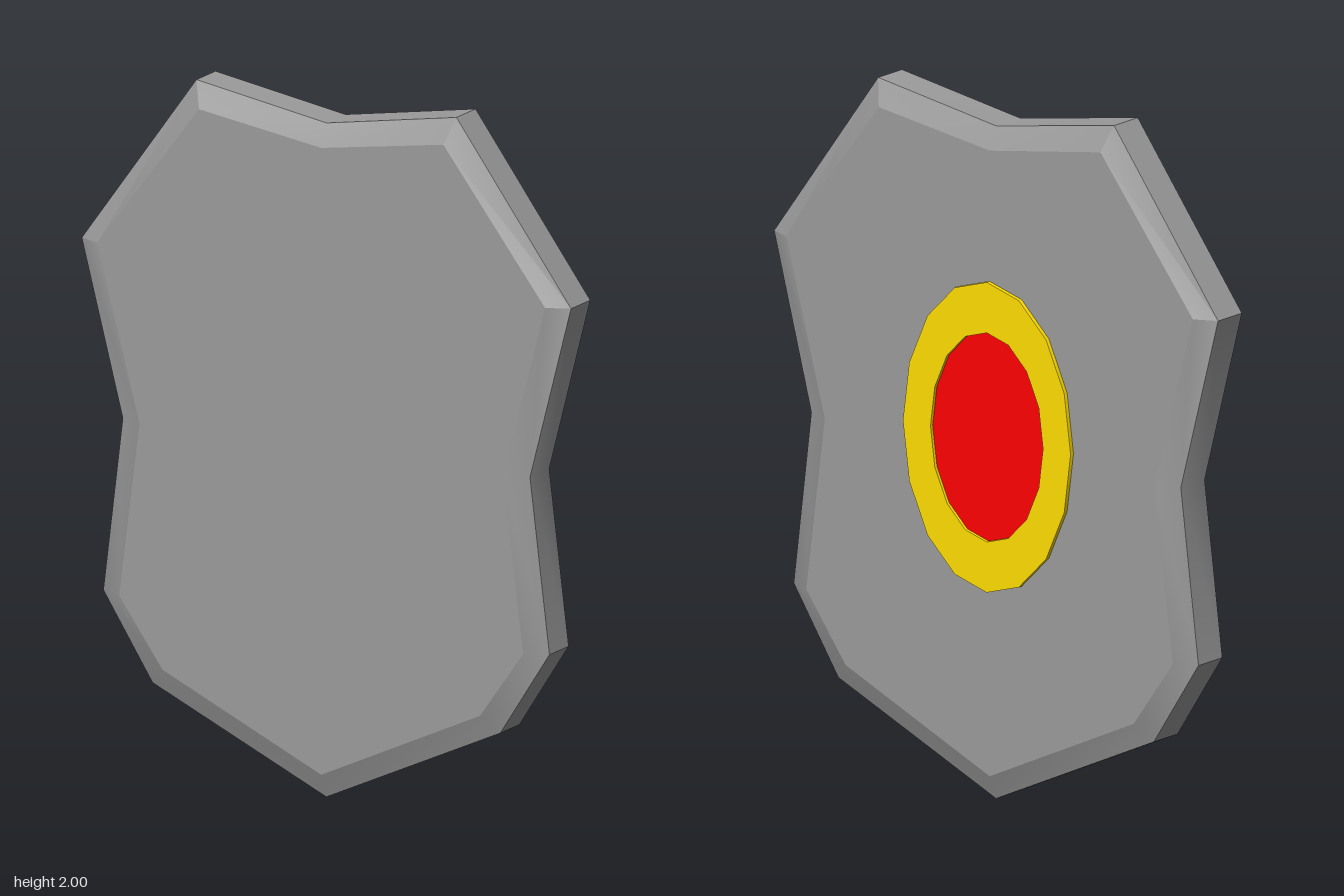
import * as THREE from 'three';
import { toCreasedNormals } from 'three/addons/utils/BufferGeometryUtils.js';

const CENTER_Y = 1.045;

// Mirror the right-hand points [x, y] between a bottom and a top centre point
function mirrorOutline(bottomY, right, topY) {
  const left = right.map(([x, y]) => [-x, y]).reverse();
  return [[0, bottomY], ...right, [0, topY], ...left];
}

// Closed loop of points around an ellipse
function ellipsePoints(rx, ry, sides = 16) {
  return Array.from({ length: sides }, (_, i) => {
    const a = (i / sides) * Math.PI * 2;
    return new THREE.Vector2(Math.cos(a) * rx, CENTER_Y + Math.sin(a) * ry);
  });
}

// Chamfered plate: four outline loops from back to front, closed by two caps
function plateGeometry() {
  const outer = mirrorOutline(0, [[0.555, 0.255], [0.712, 0.5], [0.65, 1], [0.781, 1.5], [0.415, 2]], 1.93);
  const inner = mirrorOutline(0.07, [[0.507, 0.305], [0.645, 0.5], [0.58, 1], [0.715, 1.5], [0.39, 1.925]], 1.865);
  const loops = [[inner, -0.077], [outer, -0.048], [outer, 0.059], [inner, 0.088]];
  const positions = loops.flatMap(([points, z]) => points.flatMap(([x, y]) => [x, y, z]));
  const n = outer.length;
  const index = [];
  for (let k = 0; k < 3; k++) {
    for (let i = 0; i < n; i++) {
      const a = k * n + i;
      const b = k * n + ((i + 1) % n);
      index.push(a, b, b + n, a, b + n, a + n);
    }
  }
  const capPoints = inner.map(([x, y]) => new THREE.Vector2(x, y));
  for (const [a, b, c] of THREE.ShapeUtils.triangulateShape(capPoints, [])) {
    index.push(a, c, b, a + 3 * n, b + 3 * n, c + 3 * n);
  }
  const geometry = new THREE.BufferGeometry();
  geometry.setAttribute('position', new THREE.Float32BufferAttribute(positions, 3));
  geometry.setIndex(index);
  return geometry;
}

function ovalGeometry(shape, depth) {
  return new THREE.ExtrudeGeometry(shape, { depth, bevelEnabled: false });
}

// Soften only the edges that bend less than the crease angle
function addPart(group, name, geometry, creaseDegrees, color, z = 0) {
  const creased = toCreasedNormals(geometry, THREE.MathUtils.degToRad(creaseDegrees));
  const mesh = new THREE.Mesh(creased, new THREE.MeshStandardMaterial({ color }));
  mesh.name = name;
  mesh.position.z = z;
  group.add(mesh);
}

export function createModel() {
  const group = new THREE.Group();
  group.name = 'shield';

  addPart(group, 'plate', plateGeometry(), 22, 0x9b9b9b);

  // Raised oval ring on the back
  const ring = new THREE.Shape(ellipsePoints(0.295, 0.445));
  ring.holes.push(new THREE.Path(ellipsePoints(0.198, 0.3)));
  addPart(group, 'backRing', ovalGeometry(ring, 0.016), 45, 0xffde00, -0.09);

  // Inset oval panel inside the ring
  const panel = new THREE.Shape(ellipsePoints(0.198, 0.3));
  addPart(group, 'backPanel', ovalGeometry(panel, 0.006), 45, 0xff0000, -0.08);

  return group;
}
